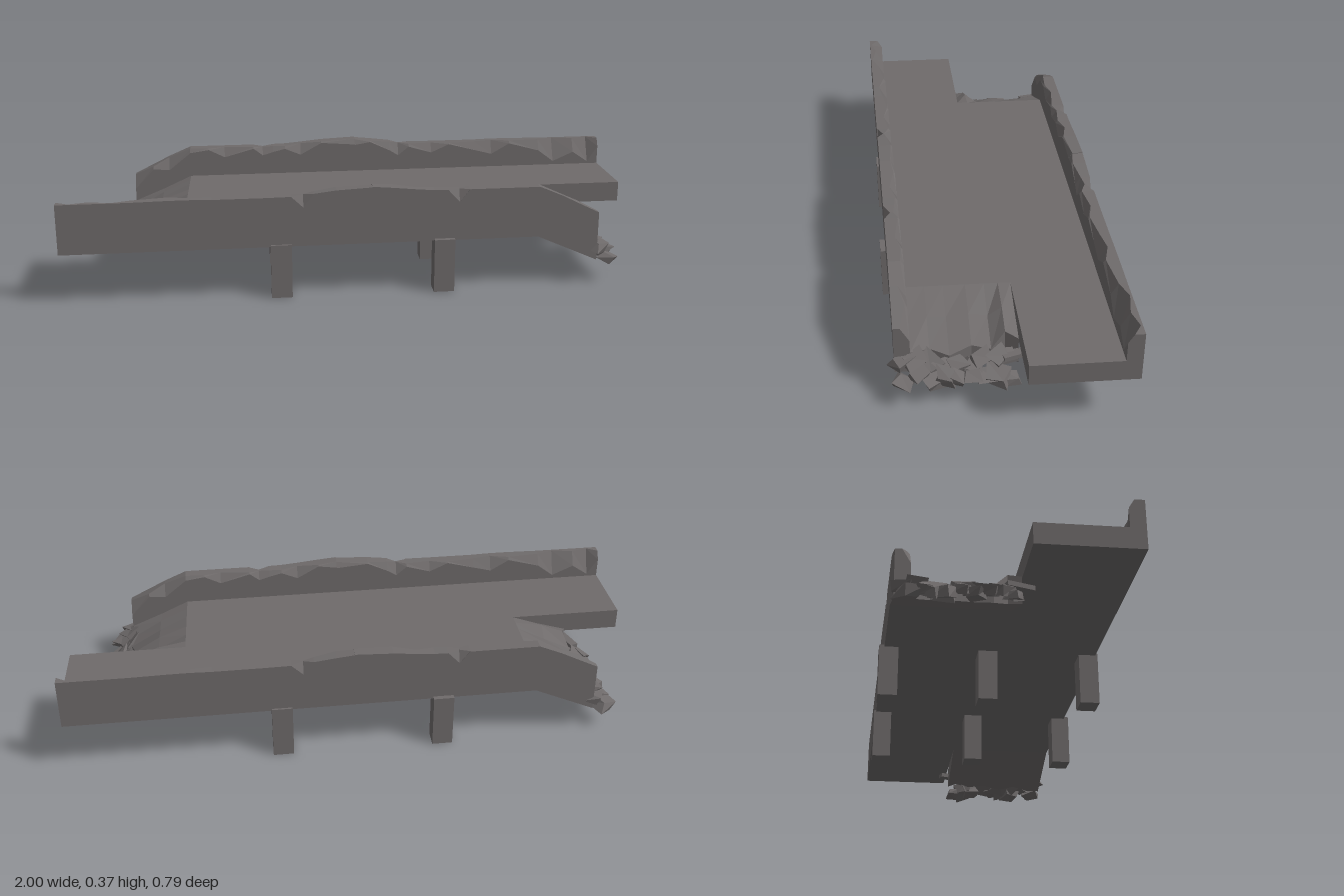
import * as THREE from 'three';

const stone = new THREE.MeshStandardMaterial({ color: 0x6f6b6b, flatShading: true });
stone.name = 'grey stone';

const OUTER = 0.36, INNER = 0.31, STEP = -0.025; // wall faces and broken middle edge
const TOP = 0.25, BOTTOM = 0.178;
const BREAK = 0.6, END = 0.81;                   // where the sagging part starts and ends

// The whole deck runs slightly askew: z shifts with x
const skew = new THREE.Matrix4().set(1, 0, 0, 0, 0, 1, 0, 0, -0.036, 0, 1, 0, 0, 0, 0, 1);

function random(seed) {
  return () => {
    seed = (seed * 16807) % 2147483647;
    return seed / 2147483647;
  };
}

function addPart(group, name, geometry) {
  geometry.applyMatrix4(skew);
  const mesh = new THREE.Mesh(geometry, stone);
  mesh.name = name;
  group.add(mesh);
  return mesh;
}

// Solid through a row of equal-length rings, capped at both ends, facing outwards
function loft(rings) {
  const n = rings[0].length, last = rings.length - 1;
  const tris = [];
  for (let i = 0; i < last; i++) {
    for (let j = 0; j < n; j++) {
      const k = (j + 1) % n;
      const a = rings[i][j], b = rings[i][k], c = rings[i + 1][k], d = rings[i + 1][j];
      tris.push([a, b, c], [a, c, d]);
    }
  }
  for (let j = 1; j < n - 1; j++) {
    tris.push([rings[0][0], rings[0][j + 1], rings[0][j]]);
    tris.push([rings[last][0], rings[last][j], rings[last][j + 1]]);
  }
  const volume = tris.reduce((sum, [a, b, c]) => sum +
    new THREE.Vector3(...a).dot(new THREE.Vector3(...b).cross(new THREE.Vector3(...c))), 0);
  if (volume < 0) tris.forEach((t) => t.reverse());
  const geometry = new THREE.BufferGeometry();
  geometry.setAttribute('position', new THREE.Float32BufferAttribute(tris.flat(2), 3));
  geometry.computeVertexNormals();
  return geometry;
}

// Wall with chipped top edges; stations are [x, top, outer chip, inner chip]
function wall(side, sags, stations) {
  return loft(stations.map(([x, top, outer, inner]) => {
    const drop = sags ? Math.max(0, x - BREAK) * 0.44 : 0;
    const base = BOTTOM - drop;
    const ridgeOut = OUTER - 0.003 - outer * 0.45;
    const ridgeIn = Math.min(INNER + 0.003 + inner * 0.5, ridgeOut - 0.003);
    return [
      [x, base, side * OUTER], [x, top - outer, side * OUTER],
      [x, top, side * ridgeOut], [x, top, side * ridgeIn],
      [x, top - inner, side * INNER], [x, base, side * INNER],
    ];
  }));
}

function createHalf(start, seed) {
  const half = new THREE.Group();
  const rnd = random(seed);

  // Level deck with a tongue reaching further on the far side
  const plan = new THREE.Shape([
    [start, -INNER], [BREAK, -INNER], [BREAK, -STEP], [1, -STEP], [1, INNER], [start, INNER],
  ].map(([x, y]) => new THREE.Vector2(x, y)));
  const deck = new THREE.ExtrudeGeometry(plan, { depth: TOP - BOTTOM, bevelEnabled: false });
  deck.rotateX(-Math.PI / 2).translate(0, BOTTOM, 0);
  addPart(half, 'deck', deck);

  // Sagging, buckled deck corner: [z, middle height, end x, end height]
  const folds = [
    [STEP, 0.215, 0.8, 0.185], [0.015, 0.232, 0.78, 0.2], [0.06, 0.2, 0.8, 0.15],
    [0.12, 0.212, 0.79, 0.16], [0.19, 0.203, 0.81, 0.14], [0.25, 0.207, 0.79, 0.155],
    [INNER, 0.205, END, 0.16],
  ];
  addPart(half, 'saggingDeck', loft(folds.map(([z, mid, x, y]) => [
    [BREAK, BOTTOM, z], [BREAK, TOP, z], [0.7, mid, z], [x, y, z],
    [x, BOTTOM - (x - BREAK) * 0.44, z],
  ])));

  // Long wall on the far side
  addPart(half, 'longParapet', wall(-1, false, [
    [start, 0.372, 0, 0.02], [0.09, 0.366, 0, 0.004], [0.165, 0.357, 0, 0.03],
    [0.2, 0.351, 0.04, 0.045], [0.24, 0.349, 0, 0.01], [0.33, 0.348, 0, 0.035],
    [0.4, 0.348, 0, 0.004], [0.5, 0.348, 0, 0.03], [0.57, 0.35, 0, 0.05],
    [0.64, 0.35, 0, 0.01], [0.76, 0.348, 0, 0.04], [0.82, 0.348, 0, 0.085],
    [0.9, 0.348, 0, 0.05], [0.96, 0.348, 0, 0.09], [1, 0.348, 0, 0.03],
  ]));

  // Short wall that bends down with the broken corner
  addPart(half, 'bentParapet', wall(1, true, [
    [start, 0.374, 0, 0.02], [0.1, 0.368, 0, 0.004], [0.18, 0.36, 0, 0.04],
    [0.24, 0.355, 0, 0.01], [0.285, 0.354, 0, 0.02], [0.325, 0.352, 0.04, 0.03],
    [0.36, 0.354, 0, 0.005], [0.47, 0.354, 0, 0.035], [0.53, 0.354, 0, 0.005],
    [BREAK, 0.354, 0, 0.015], [0.68, 0.32, 0, 0.045], [0.74, 0.29, 0, 0.01],
    [END, 0.256, 0, 0.05],
  ]));

  // Square piers
  for (const z of [-0.335, 0.01, 0.345]) {
    addPart(half, 'pier', new THREE.BoxGeometry(0.07, 0.185, 0.065).translate(0.275, 0.0925, z));
  }

  // Rubble hanging off the broken edge, in two rows of irregular lumps
  for (let row = 0; row < 2; row++) {
    for (let i = 0; i < 9; i++) {
      const size = 0.024 + rnd() * 0.012;
      const lump = new THREE.BoxGeometry(size * 1.5, size, size * 1.8);
      const corners = lump.attributes.position;
      for (let v = 0; v < corners.count; v++) {
        const [x, y, z] = [corners.getX(v), corners.getY(v), corners.getZ(v)];
        const wobble = 1 + 0.3 * Math.sin(i * 5 + (x > 0) * 2 + (y > 0) * 3.7 + (z > 0) * 5.1);
        corners.setXYZ(v, x * wobble, y * wobble, z * wobble);
      }
      lump.rotateY((rnd() - 0.5) * 1.6).rotateZ(-0.45 + (rnd() - 0.5) * 0.5);
      const x = 0.81 + row * 0.035 + rnd() * 0.012;
      const y = 0.12 - row * 0.028 + (rnd() - 0.5) * 0.03;
      lump.translate(x, y, 0.0 + i * 0.041 + (rnd() - 0.5) * 0.02);
      addPart(half, 'rubble', lump);
    }
  }

  // Loose splinter at the inner corner
  addPart(half, 'splinter', new THREE.BoxGeometry(0.03, 0.016, 0.09)
    .rotateY(0.3).translate(0.815, 0.138, -0.015));
  return half;
}

export function createModel() {
  const bridge = new THREE.Group();
  bridge.name = 'brokenBridge';
  // Two halves, turned half a circle from each other
  const rightHalf = createHalf(0.03, 7919);
  rightHalf.name = 'firstHalf';
  const leftHalf = createHalf(-0.03, 4721);
  leftHalf.name = 'secondHalf';
  leftHalf.rotation.y = Math.PI;
  bridge.add(rightHalf, leftHalf);
  return bridge;
}
